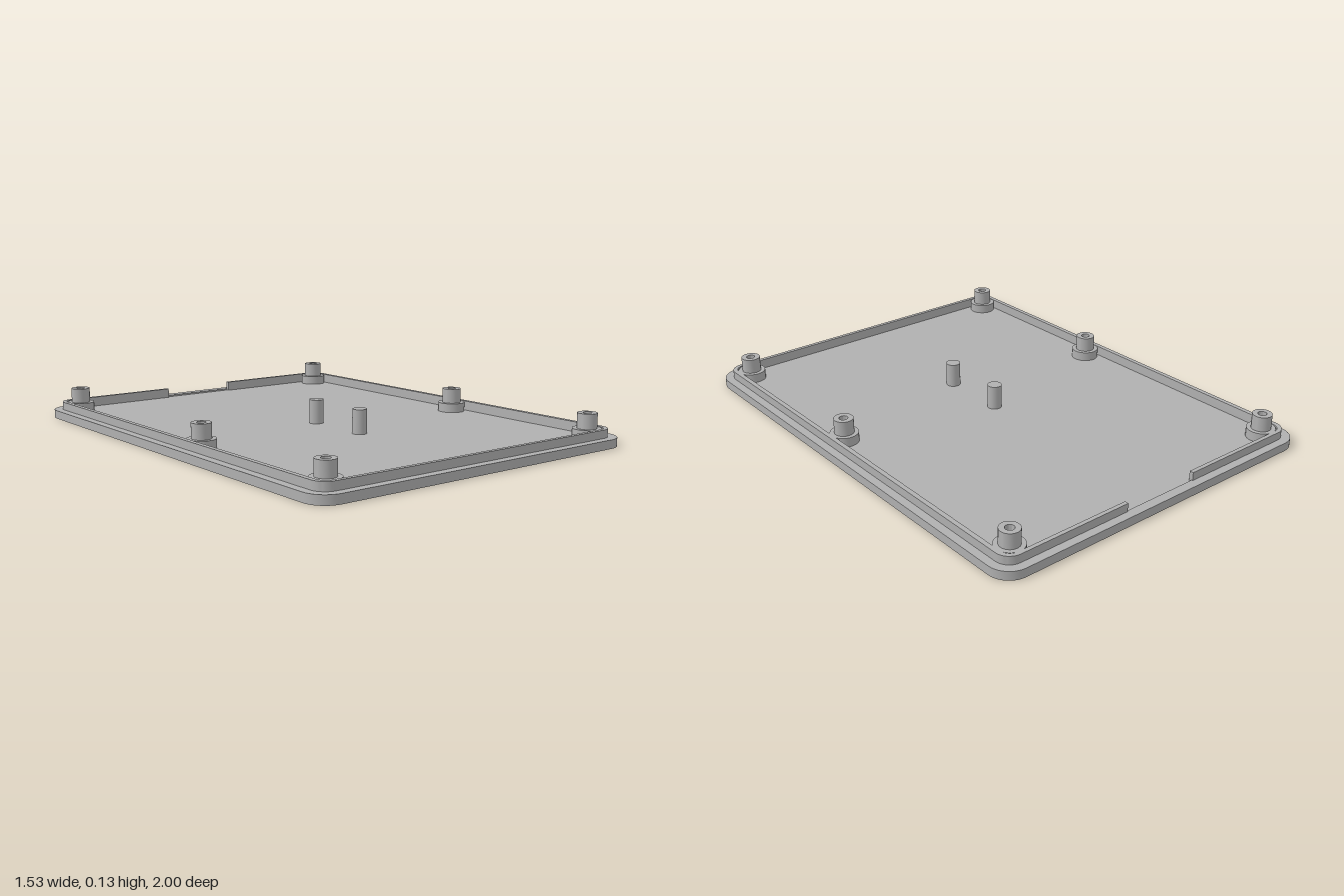
import * as THREE from 'three';
import { toCreasedNormals } from 'three/addons/utils/BufferGeometryUtils.js';

const SCREWS = [];
for (const x of [-0.655, 0.655]) for (const z of [-0.89, 0.13, 0.89]) SCREWS.push([x, z]);
const FEET = [];
for (const x of [-0.55, 0.55]) for (const z of [-0.795, 0.795]) FEET.push([x, z]);

// Rounded-rectangle outline, counter-clockwise from the middle of the back edge,
// optionally leaving an opening of half width gap there. Shape y is -z.
function outline(hx, hz, r, gap = 0) {
  const pts = [new THREE.Vector2(-gap, hz)];
  const corners = [[-1, 1], [-1, -1], [1, -1], [1, 1]];
  corners.forEach(([sx, sy], k) => {
    for (let i = 0; i <= 10; i++) {
      const a = Math.PI / 2 * (k + 1 + i / 10);
      pts.push(new THREE.Vector2(sx * (hx - r) + r * Math.cos(a), sy * (hz - r) + r * Math.sin(a)));
    }
  });
  if (gap) pts.push(new THREE.Vector2(gap, hz));
  return pts;
}

function circle(x, z, r) {
  return new THREE.Path().absarc(x, -z, r, 0, Math.PI * 2, true);
}

// Stands a flat shape up from y0 to y1
function slab(shape, y0, y1) {
  const g = new THREE.ExtrudeGeometry(shape, { depth: y1 - y0, bevelEnabled: false, curveSegments: 20 });
  g.rotateX(-Math.PI / 2).translate(0, y0, 0);
  return toCreasedNormals(g, 0.6);
}

export function createModel() {
  const model = new THREE.Group();
  const grey = new THREE.MeshStandardMaterial({ color: 0xb0b0b0 });
  grey.name = 'greyPlastic';
  const add = (name, geometry, x = 0, y = 0, z = 0) => {
    const mesh = new THREE.Mesh(geometry, grey);
    mesh.name = name;
    mesh.position.set(x, y, z);
    model.add(mesh);
  };

  const plate = () => new THREE.Shape(outline(0.765, 1, 0.09));

  // Underside skin with screw holes and shallow round foot recesses
  const skin = plate();
  SCREWS.forEach(([x, z]) => skin.holes.push(circle(x, z, 0.03)));
  FEET.forEach(([x, z]) => skin.holes.push(circle(x, z, 0.082)));
  add('underside', slab(skin, 0, 0.008));

  // Floor
  const floor = plate();
  SCREWS.forEach(([x, z]) => floor.holes.push(circle(x, z, 0.03)));
  add('floor', slab(floor, 0.008, 0.029));

  // Border step around the floor
  const border = plate();
  border.holes.push(new THREE.Path(outline(0.725, 0.96, 0.055).reverse()));
  add('border', slab(border, 0.029, 0.036));

  // Raised rim, open in the middle of the back
  const rim = new THREE.Shape([
    ...outline(0.73, 0.965, 0.06, 0.17),
    ...outline(0.71, 0.948, 0.04, 0.17).reverse(),
  ]);
  add('rim', slab(rim, 0.029, 0.07));

  // Stepped hollow screw posts, wider inside at the bottom
  const profile = [
    [0.058, 0.02], [0.058, 0.068], [0.04, 0.068], [0.04, 0.13],
    [0.018, 0.13], [0.018, 0.05], [0.03, 0.05], [0.03, 0.008],
  ].map(([x, y]) => new THREE.Vector2(x, y));
  const post = toCreasedNormals(new THREE.LatheGeometry(profile, 32).toNonIndexed(), 0.6);
  SCREWS.forEach(([x, z]) => add('screwPost', post, x, 0, z));

  // Solid support pins in the middle
  const pin = new THREE.CylinderGeometry(0.03, 0.03, 0.11, 32);
  for (const z of [-0.01, 0.275]) add('supportPin', pin, 0, 0.075, z);

  return model;
}
